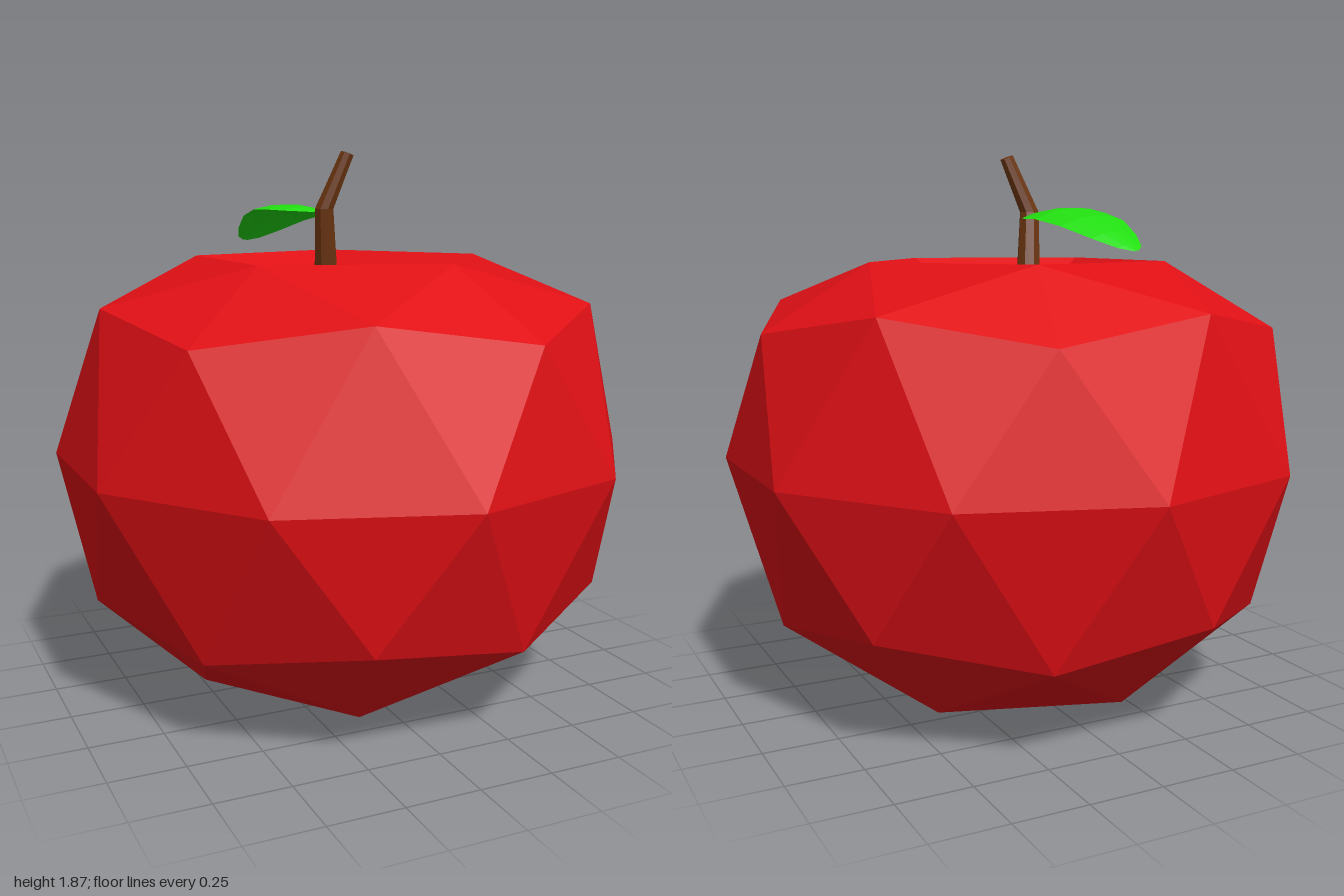
import * as THREE from 'three';

const flat = (color, side = THREE.FrontSide) =>
  new THREE.MeshStandardMaterial({ color, flatShading: true, side });

function named(name, geometry, material) {
  const mesh = new THREE.Mesh(geometry, material);
  mesh.name = name;
  return mesh;
}

// Icosphere with a vertex on each pole, flattened below and dimpled on top
function fruitGeometry() {
  const geo = new THREE.IcosahedronGeometry(1, 1);
  geo.rotateX(-Math.atan((1 + Math.sqrt(5)) / 2));
  geo.rotateY(Math.PI / 2);
  const p = geo.attributes.position;
  for (let i = 0; i < p.count; i++) {
    const y = p.getY(i);
    const r = Math.hypot(p.getX(i), p.getZ(i));
    if (y > 0.95) p.setY(i, 0.42);
    else if (y > 0.7) p.setY(i, 0.67);
    else if (y < -0.7) p.setY(i, r < 0.1 ? -0.845 : -0.795);
  }
  geo.translate(0, 0.845, 0);
  geo.computeVertexNormals();
  return geo;
}

// Grid surface through rows of points
function gridGeometry(rows) {
  const n = rows[0].length;
  const index = [];
  for (let i = 0; i < rows.length - 1; i++) {
    for (let j = 0; j < n - 1; j++) {
      const a = i * n + j, b = a + 1, c = a + n, d = c + 1;
      index.push(a, b, c, b, d, c);
    }
  }
  const geo = new THREE.BufferGeometry();
  geo.setAttribute('position', new THREE.Float32BufferAttribute(rows.flat(2), 3));
  geo.setIndex(index);
  geo.computeVertexNormals();
  return geo;
}

// Bent, tapering eight-sided stem, capped at the tip
function stemGeometry() {
  const sides = 8;
  const rings = [[-0.02, 1.25, -0.075, 0.05], [-0.06, 1.68, -0.012, 0.034], [0.012, 1.865, 0.02, 0.023], [0.012, 1.865, 0.02, 0]];
  return gridGeometry(rings.map(([x, y, z, r], k) =>
    Array.from({ length: sides + 1 }, (_, j) => {
      const a = (j / sides) * Math.PI * 2;
      const tilt = k > 1 ? -0.38 : 0;
      return [x + r * Math.cos(a), y + r * Math.cos(a) * tilt, z - r * Math.sin(a)];
    })));
}

// Arched leaf: each section is z, left x, right x, ridge height
function leafGeometry() {
  const sections = [
    [-0.04, -0.09, -0.04, 1.672],
    [-0.09, -0.18, 0.01, 1.685],
    [-0.16, -0.22, 0.035, 1.692],
    [-0.24, -0.232, 0.037, 1.692],
    [-0.36, -0.228, 0.01, 1.665],
    [-0.47, -0.208, -0.045, 1.615],
    [-0.54, -0.185, -0.1, 1.575],
    [-0.57, -0.155, -0.14, 1.556],
  ];
  return gridGeometry(sections.map(([z, x0, x1, y]) =>
    [0, 0.25, 0.5, 0.75, 1].map((t) => {
      const half = (x1 - x0) / 2;
      const s = 2 * t - 1;
      const drop = half * (0.2 * s * s + 0.08 * s);
      return [x0 + (x1 - x0) * t, y - drop, z];
    })));
}

export function createModel() {
  const group = new THREE.Group();
  group.name = 'apple';
  group.add(
    named('fruit', fruitGeometry(), flat(0xe01015)),
    named('stem', stemGeometry(), flat(0x6b3510, THREE.DoubleSide)),
    named('leaf', leafGeometry(), flat(0x22dd11, THREE.DoubleSide)),
  );
  return group;
}
